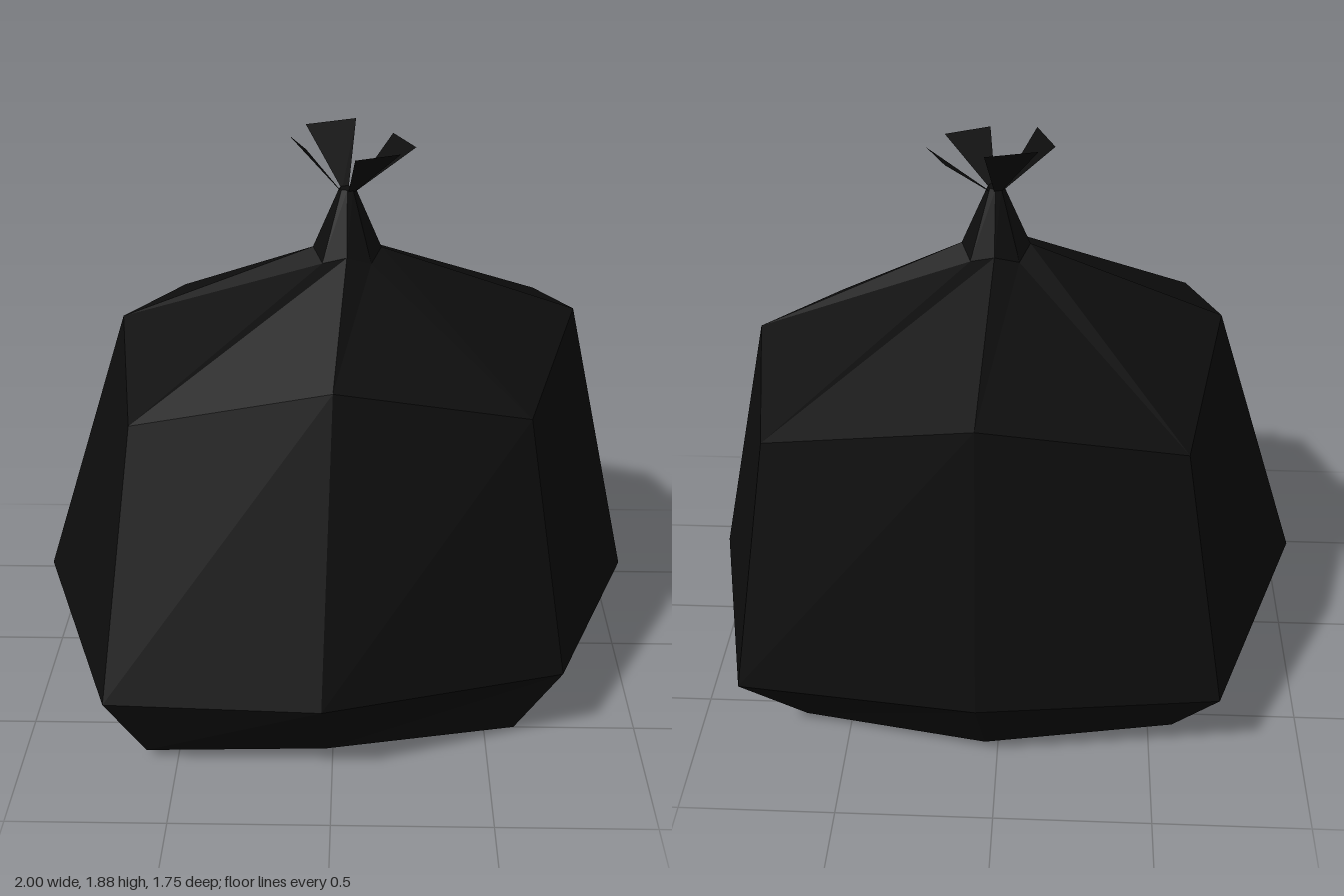
import * as THREE from 'three';

// Builds a faceted shell from stacked eight-sided rings; optional flat caps close it.
function loft(rings, capBottom, capTop) {
  const out = [];
  const tri = (...pts) => pts.forEach((p) => out.push(...p));
  const centre = (ring) => [0, 1, 2].map((k) => ring.reduce((s, p) => s + p[k], 0) / ring.length);
  const n = rings[0].length;
  for (let r = 0; r < rings.length - 1; r++) {
    for (let i = 0; i < n; i++) {
      const j = (i + 1) % n;
      const lo = rings[r], hi = rings[r + 1];
      tri(lo[j], lo[i], hi[i]);
      tri(lo[j], hi[i], hi[j]);
    }
  }
  const first = rings[0], last = rings[rings.length - 1];
  for (let i = 0; i < n; i++) {
    const j = (i + 1) % n;
    if (capBottom) tri(centre(first), first[i], first[j]);
    if (capTop) tri(centre(last), last[j], last[i]);
  }
  return toGeometry(out);
}

function toGeometry(values) {
  const g = new THREE.BufferGeometry();
  g.setAttribute('position', new THREE.Float32BufferAttribute(values, 3));
  g.computeVertexNormals();
  return g;
}

// Small ring around the gathered neck; the corners sit slightly lower than the sides.
function neckRing(y, radius, dip) {
  return Array.from({ length: 8 }, (_, i) => {
    const a = (-135 + i * 45) * Math.PI / 180;
    return [0.035 + Math.cos(a) * radius, y - (i % 2 ? 0 : dip), 0.01 + Math.sin(a) * radius];
  });
}

export function createModel() {
  const group = new THREE.Group();
  group.name = 'tiedSack';
  const plastic = new THREE.MeshStandardMaterial({ color: 0x0d0d0d, flatShading: true, side: THREE.DoubleSide });
  plastic.name = 'black plastic';

  const add = (name, geometry) => {
    const mesh = new THREE.Mesh(geometry, plastic);
    mesh.name = name;
    group.add(mesh);
  };

  // Rings run back left corner, back, right, front and round to the left side
  const base = [
    [-0.58, 0.025, -0.58], [0.04, 0.045, -0.71], [0.65, 0.025, -0.58], [0.79, 0.025, -0.02],
    [0.6, 0, 0.5], [-0.02, 0.015, 0.645], [-0.6, 0.035, 0.69], [-0.74, 0.025, 0.02],
  ];
  const belly = [
    [-0.71, 0.29, -0.75], [0.06, 0.33, -0.88], [0.83, 0.29, -0.75], [1, 0.33, -0.02],
    [0.74, 0.27, 0.58], [-0.03, 0.32, 0.87], [-0.71, 0.29, 0.8], [-1, 0.34, 0.03],
  ];
  const shoulder = [
    [-0.57, 1.14, -0.63], [0.06, 1.28, -0.75], [0.71, 1.14, -0.62], [0.79, 1.26, -0.11],
    [0.61, 1.11, 0.44], [0, 1.25, 0.57], [-0.62, 1.12, 0.53], [-0.7, 1.27, 0.01],
  ];
  const collar = neckRing(1.515, 0.11, 0.03);
  add('bagBody', loft([base, belly, shoulder, collar], true, false));
  add('gatheredNeck', loft([collar, neckRing(1.71, 0.026, 0)], false, true));

  // Loose flaps fanning out above the tie
  const flaps = {
    backFlap: [[-0.1, 1.88, -0.12], [0.06, 1.885, -0.18]],
    rightFlap: [[0.18, 1.845, -0.15], [0.25, 1.84, 0]],
    frontFlap: [[0.2, 1.845, 0.1], [0.06, 1.845, 0.17]],
    leftFlap: [[-0.09, 1.865, 0.12], [-0.15, 1.865, -0.04]],
  };
  for (const [name, [a, b]] of Object.entries(flaps)) {
    // Narrow root follows the direction of the outer edge
    const root = (p) => [0.035 + (p[0] - 0.035) * 0.13, 1.7, 0.01 + (p[2] - 0.01) * 0.13];
    add(name, toGeometry([...root(a), ...a, ...b, ...root(a), ...b, ...root(b)]));
  }
  return group;
}
